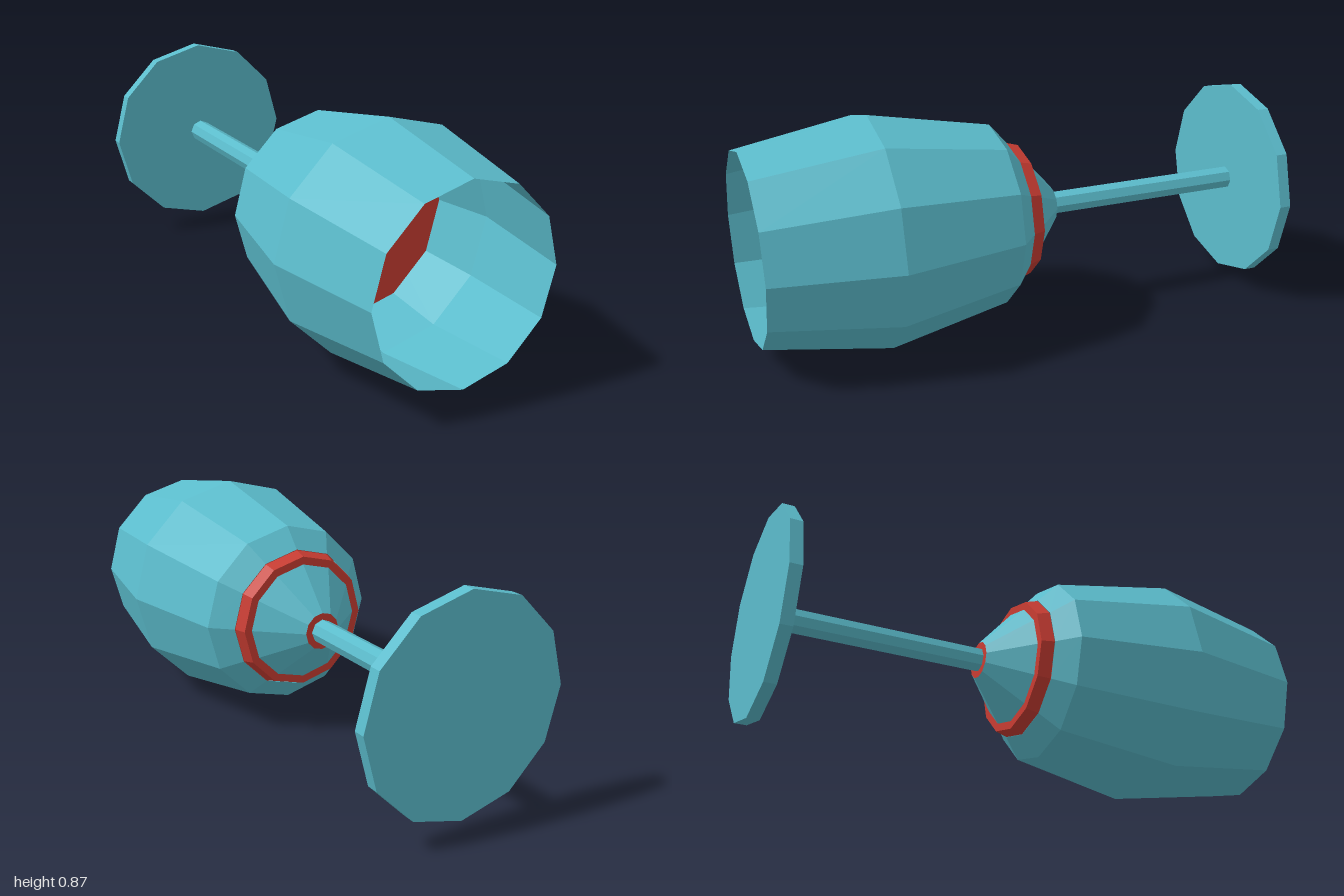
import * as THREE from 'three';

const AXIS_Y = 0.434; // height of the goblet's axis
const SIDES = 12;

export function createModel() {
  const goblet = new THREE.Group();
  goblet.name = 'goblet';

  const teal = new THREE.MeshStandardMaterial({ color: 0x5bbccc, flatShading: true, side: THREE.DoubleSide });
  teal.name = 'teal';
  const red = new THREE.MeshStandardMaterial({ color: 0xc83c32, flatShading: true, side: THREE.DoubleSide });
  red.name = 'red';

  // Turns a [radius, z] profile, listed from back to front, about the lying axis
  function turned(name, profile, material, sides = SIDES) {
    const points = profile.map(([r, z]) => new THREE.Vector2(r, z));
    const geometry = new THREE.LatheGeometry(points, sides);
    geometry.rotateX(Math.PI / 2);
    const mesh = new THREE.Mesh(geometry, material);
    mesh.name = name;
    mesh.position.y = AXIS_Y;
    goblet.add(mesh);
  }

  // Foot disc and stem
  turned('foot', [[0, -1], [0.388, -1], [0.388, -0.955], [0, -0.955]], teal);
  turned('stem', [[0.045, -0.957], [0.045, -0.16]], teal, 8);

  // Cone joining the stem to the bowl, with a red end around the stem
  turned('bowlCone', [[0.07, -0.165], [0.222, -0.03]], teal);
  turned('coneEnd', [[0, -0.165], [0.07, -0.165]], red);

  // Red collar under the bowl
  turned('collar', [[0.2, -0.03], [0.252, -0.03], [0.266, 0.017], [0.2, 0.017]], red);

  // Open thin-walled bowl
  turned('bowl', [[0.268, 0.017], [0.345, 0.085], [0.433, 0.545], [0.355, 1]], teal);

  // Drink surface inside the bowl
  turned('drink', [[0.388, 0.32], [0, 0.32]], red);

  return goblet;
}
